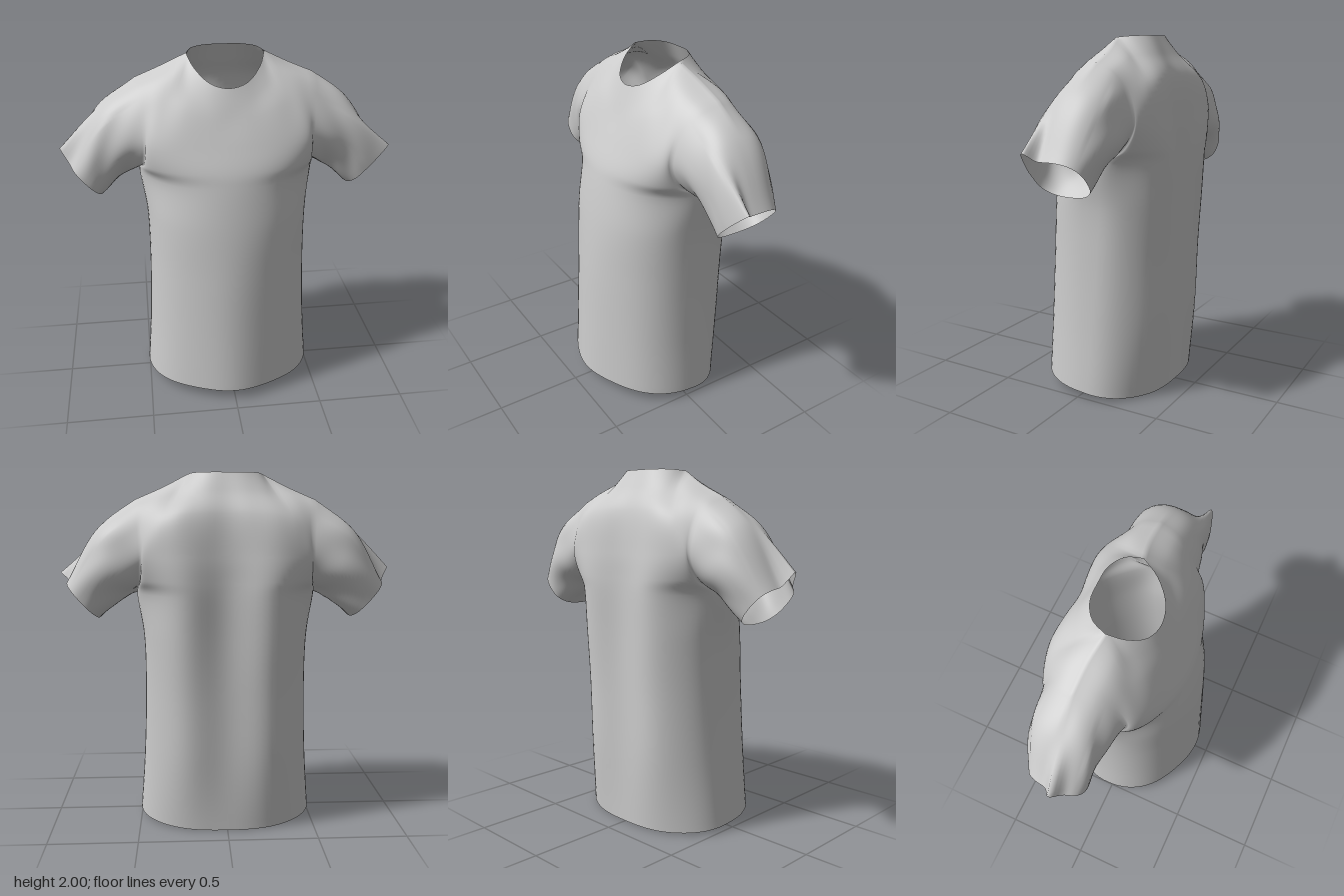
import * as THREE from 'three';

const V = (x, y, z) => new THREE.Vector3(x, y, z);
const spline = (pts) => new THREE.CatmullRomCurve3(pts);
const COLS = 40, STEPS = 8, ARMPIT = 4 * STEPS; // columns per panel, rows per level, armpit row
const mirror = (pts) => [...pts.slice(1).reverse().map((p) => V(-p.x, p.y, p.z)), ...pts];

// Rounded section: half width, side (y, z), centre (y, z), fullness, soft lobes, flare at the sides
function roundRow(w, ys, zs, yc, zc, power, lobe = 0, flare = 0) {
  return Array.from({ length: COLS + 1 }, (_, i) => {
    const a = (i / COLS - 0.5) * Math.PI;
    const c = Math.pow(Math.max(0, Math.cos(a)), power);
    const x = w * Math.sin(a) + flare * Math.sin(a) ** 15;
    const bump = lobe * Math.sin(Math.PI * Math.min(1, Math.abs(x) / 0.5)) ** 2;
    return V(x, ys + (yc - ys) * c, zs + (zc - zs) * c - bump);
  });
}

// Section drawn through the points of its left half
function splineRow(half) {
  const curve = spline(mirror(half));
  return Array.from({ length: COLS + 1 }, (_, i) => curve.getPoint(i / COLS));
}

// Top edge: neckline in the middle, shoulder seams on both sides
function topRow(neck) {
  const collar = spline(mirror(neck));
  const seam = spline([neck[3], V(0.35, 1.92, -0.12), V(0.5, 1.855, -0.13)]);
  return Array.from({ length: COLS + 1 }, (_, i) => {
    const u = (2 * i) / COLS - 1;
    if (Math.abs(u) <= 0.6) return collar.getPoint((u / 0.6 + 1) / 2);
    const p = seam.getPoint((Math.abs(u) - 0.6) / 0.4);
    return V(Math.sign(u) * p.x, p.y, p.z);
  });
}

// Row between yoke and top edge, padded outward so the shoulders stay round
function shoulderRow(yoke, top, dir) {
  return yoke.map((p, i) => {
    const pad = 0.036 * THREE.MathUtils.smoothstep(Math.abs((2 * i) / COLS - 1), 0.4, 0.85);
    return p.clone().lerp(top[i], 0.55).add(V(0, 0.77 * pad, 0.63 * dir * pad));
  });
}

// Runs a spline up every column through the level sections
function loft(levels) {
  const rows = (levels.length - 1) * STEPS;
  const columns = levels[0].map((_, i) => spline(levels.map((row) => row[i])));
  return Array.from({ length: rows + 1 }, (_, j) => columns.map((c) => c.getPoint(j / rows)));
}

function frontPanel() {
  const yoke = splineRow([V(0, 1.68, 0.17), V(0.12, 1.69, 0.165), V(0.24, 1.73, 0.135),
    V(0.33, 1.75, 0.1), V(0.4, 1.735, 0.09), V(0.465, 1.71, 0.075)]);
  const top = topRow([V(0, 1.84, 0.105), V(0.1, 1.862, 0.08), V(0.18, 1.93, 0), V(0.215, 1.99, -0.09)]);
  return loft([
    roundRow(0.505, 0.04, -0.02, 0.065, 0.42, 1, 0.015),
    roundRow(0.478, 0.4, -0.03, 0.4, 0.4, 0.95, 0.012),
    roundRow(0.463, 0.8, -0.05, 0.8, 0.375, 0.9, 0.008),
    roundRow(0.463, 1.1, -0.07, 1.1, 0.345, 0.85, 0, 0.004),
    roundRow(0.464, 1.34, -0.1, 1.34, 0.305, 0.78, 0, 0.036),
    roundRow(0.462, 1.42, 0.06, 1.42, 0.285, 0.85, 0, 0.012),
    roundRow(0.46, 1.55, 0.125, 1.55, 0.23, 0.9),
    yoke,
    shoulderRow(yoke, top, 1),
    top,
  ]);
}

function backPanel() {
  const yoke = splineRow([V(0, 1.78, -0.345), V(0.13, 1.78, -0.36), V(0.25, 1.77, -0.366),
    V(0.34, 1.75, -0.35), V(0.4, 1.73, -0.33), V(0.465, 1.71, -0.3)]);
  const top = topRow([V(0, 2, -0.23), V(0.1, 2, -0.222), V(0.18, 1.998, -0.17), V(0.215, 1.99, -0.09)]);
  return loft([
    roundRow(0.505, 0.04, -0.02, 0, -0.37, 0.8, 0.01),
    roundRow(0.478, 0.4, -0.03, 0.4, -0.375, 0.75, 0.04),
    roundRow(0.463, 0.8, -0.05, 0.8, -0.375, 0.7, 0.05),
    roundRow(0.463, 1.1, -0.07, 1.1, -0.375, 0.65, 0.062, 0.004),
    roundRow(0.464, 1.34, -0.1, 1.34, -0.378, 0.6, 0.065, 0.036),
    roundRow(0.462, 1.42, -0.26, 1.42, -0.378, 0.7, 0.055, 0.012),
    roundRow(0.46, 1.55, -0.335, 1.55, -0.375, 0.8, 0.04),
    yoke,
    shoulderRow(yoke, top, -1),
    top,
  ]);
}

// Sleeve: from the armhole edge through a mid ring to a cuff with a pinched pleat on top
function sleeveRows(armhole, side, pleat) {
  const n = armhole.length - 1, rows = 20;
  const lines = armhole.map((p, i) => {
    const phi = -Math.PI / 2 + (2 * Math.PI * i) / n;
    const round = (v, e) => Math.sign(v) * Math.abs(v) ** e;
    const s = Math.sin(phi), c = Math.cos(phi);
    const mid = V(side * (0.645 + 0.06 * s), 1.505 + 0.2 * s, -0.125 + 0.2 * round(c, 0.9));
    const sc = round(s, 0.8), z = -0.11 + 0.16 * round(c, 0.8);
    const pinch = s > 0 ? Math.exp(-(((z - pleat.z) / 0.034) ** 2)) : 0;
    const cuff = V(side * (0.8 + 0.09 * sc + pleat.x * pinch), 1.3 + 0.1 * sc + pleat.y * pinch, z);
    return { curve: spline([p, mid, cuff]), s, c, phi };
  });
  return Array.from({ length: rows + 1 }, (_, k) => lines.map(({ curve, s, c, phi }) => {
    const t = k / rows;
    const p = curve.getPoint(t);
    // soft diagonal wrinkles, fading at both ends
    const r = 0.007 * Math.sin(5 * phi + 7 * t) * Math.sin(Math.PI * t) * (s > 0.7 ? 0.4 : 1);
    return k === 0 ? p : p.add(V(0, r * s, r * c));
  }));
}

function gridGeometry(rows, flip) {
  const w = rows[0].length, index = [];
  for (let j = 0; j < rows.length - 1; j++) {
    for (let i = 0; i < w - 1; i++) {
      const a = j * w + i, b = a + 1, c = a + w + 1, d = a + w;
      index.push(...(flip ? [a, c, b, a, d, c] : [a, b, c, a, c, d]));
    }
  }
  const geometry = new THREE.BufferGeometry().setFromPoints(rows.flat());
  geometry.setIndex(index);
  geometry.computeVertexNormals();
  return geometry;
}

// Shares normals where parts meet so the cloth looks continuous
function blendNormals(geometries) {
  const sums = new Map();
  const visit = (fn) => geometries.forEach((g) => {
    const p = g.attributes.position, n = g.attributes.normal;
    for (let i = 0; i < p.count; i++) {
      fn([p.getX(i), p.getY(i), p.getZ(i)].map((v) => Math.round(v * 1e4)).join(), n, i);
    }
  });
  visit((key, n, i) => {
    if (!sums.has(key)) sums.set(key, V(0, 0, 0));
    sums.get(key).add(V(n.getX(i), n.getY(i), n.getZ(i)));
  });
  sums.forEach((v) => v.normalize());
  visit((key, n, i) => n.setXYZ(i, ...sums.get(key).toArray()));
}

export function createModel() {
  const front = frontPanel(), back = backPanel();

  // Close the side seams below the armpits
  for (let j = 0; j <= ARMPIT; j++) {
    for (const i of [0, COLS]) {
      front[j][i].lerp(back[j][i], 0.5);
      back[j][i].copy(front[j][i]);
    }
  }

  // Armhole edge: up the front panel, then down the back panel
  const armhole = (i) => [
    ...front.slice(ARMPIT).map((row) => row[i]),
    ...back.slice(ARMPIT, -1).reverse().map((row) => row[i]),
  ];

  const leftPleat = { x: 0.075, y: 0.065, z: 0.01 }, rightPleat = { x: 0.05, y: 0.08, z: -0.08 };
  const parts = {
    frontPanel: gridGeometry(front, false),
    backPanel: gridGeometry(back, true),
    leftSleeve: gridGeometry(sleeveRows(armhole(COLS), 1, leftPleat), true),
    rightSleeve: gridGeometry(sleeveRows(armhole(0), -1, rightPleat), false),
  };
  blendNormals(Object.values(parts));

  const material = new THREE.MeshStandardMaterial({ color: 0xcccccc, side: THREE.DoubleSide });
  const shirt = new THREE.Group();
  shirt.name = 'shirt';
  for (const [name, geometry] of Object.entries(parts)) {
    const mesh = new THREE.Mesh(geometry, material);
    mesh.name = name;
    shirt.add(mesh);
  }
  return shirt;
}
